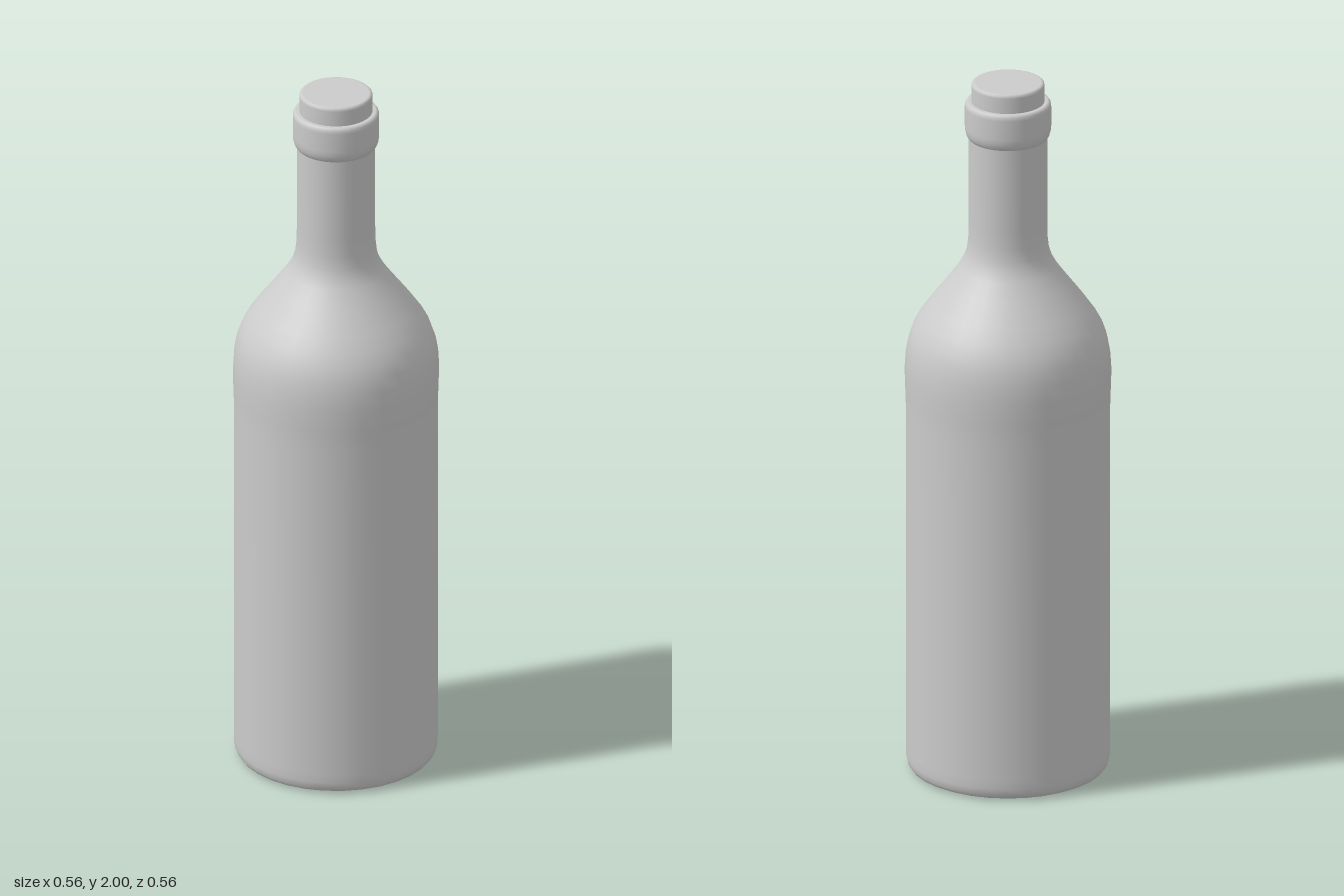
import * as THREE from 'three';

const SIDES = 32;

export function createModel() {
  const group = new THREE.Group();
  const material = new THREE.MeshStandardMaterial({ color: 0xcccccc });

  // Turned part from a [radius, height] profile running upwards on the outside
  function turned(name, profile) {
    const points = profile.map(([r, y]) => new THREE.Vector2(r, y));
    const mesh = new THREE.Mesh(new THREE.LatheGeometry(points, SIDES), material);
    mesh.name = name;
    group.add(mesh);
  }

  // Body with hollowed base, rounded foot, shoulder and neck
  turned('bottleBody', [
    [0, 0.06], [0.06, 0.056], [0.12, 0.043], [0.17, 0.024], [0.205, 0.008],
    [0.235, 0], [0.255, 0.001], [0.268, 0.007], [0.275, 0.018], [0.278, 0.035],
    [0.278, 0.06], [0.278, 0.5], [0.278, 1.04], [0.28, 1.1], [0.282, 1.16],
    [0.279, 1.21], [0.272, 1.25], [0.26, 1.285], [0.241, 1.32], [0.215, 1.357],
    [0.165, 1.422], [0.135, 1.463], [0.121, 1.488], [0.112, 1.515],
    [0.108, 1.55], [0.107, 1.6], [0.107, 1.82], [0.107, 1.87],
  ]);

  // Collar around the mouth
  turned('lip', [
    [0.105, 1.838], [0.109, 1.842], [0.114, 1.85], [0.117, 1.862], [0.118, 1.875],
    [0.118, 1.93], [0.117, 1.939], [0.113, 1.945], [0.108, 1.946], [0.09, 1.946],
  ]);

  // Stopper in the mouth
  turned('stopper', [
    [0.1, 1.93], [0.1, 1.95], [0.1, 1.99], [0.099, 1.996], [0.095, 1.9995],
    [0.09, 2], [0, 2],
  ]);

  return group;
}
